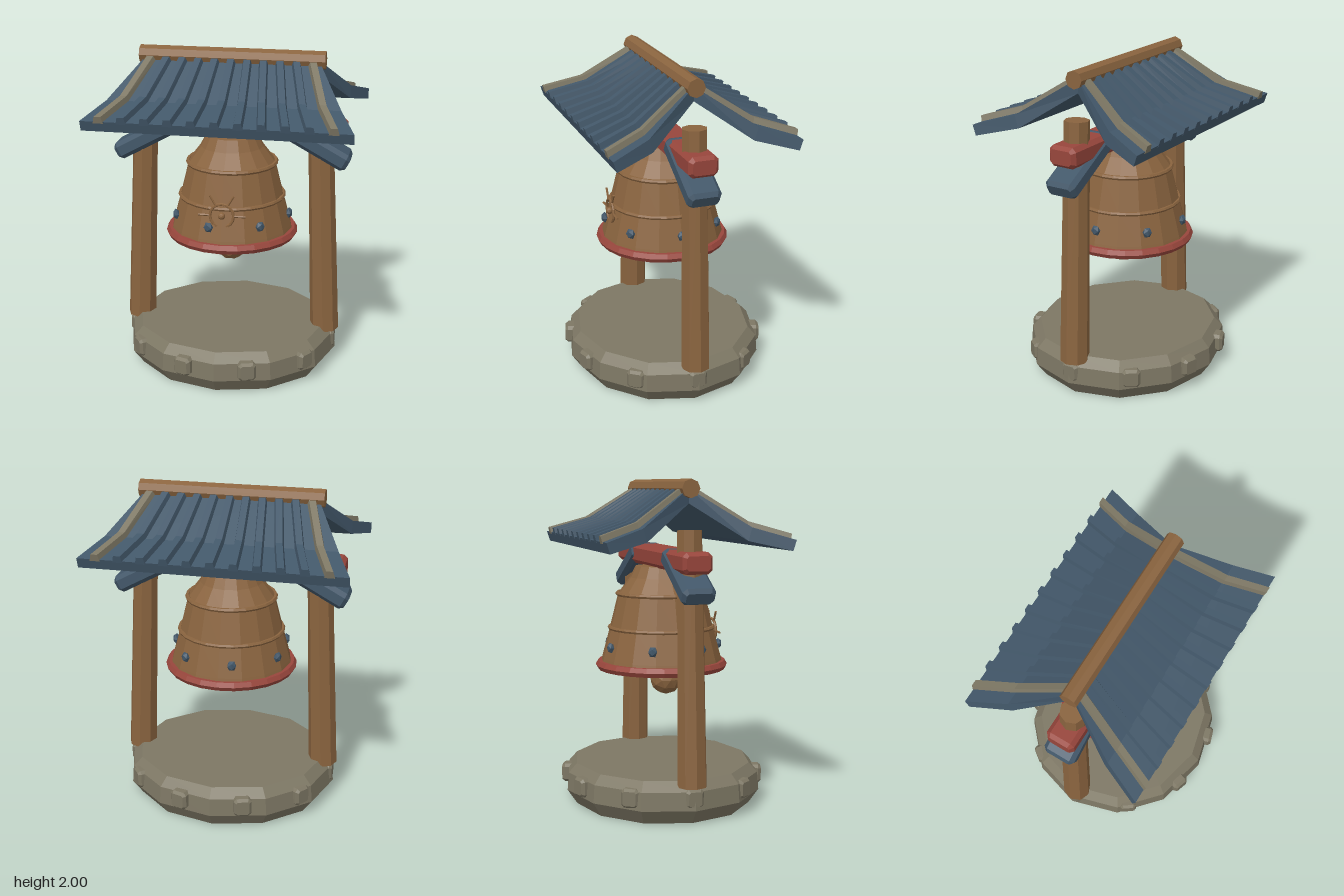
import * as THREE from 'three';

const paint = (name, color) => {
  const m = new THREE.MeshStandardMaterial({ color });
  m.name = name;
  return m;
};

// Faceted copy of a geometry
function flat(geo) {
  const g = geo.index ? geo.toNonIndexed() : geo;
  g.computeVertexNormals();
  return g;
}

// Solid through cross-sections ordered along +z, each counter-clockwise seen from +z
function loft(sections) {
  const pos = [], n = sections[0].length, last = sections.length - 1;
  const tri = (...pts) => pts.forEach((p) => pos.push(...p));
  for (let i = 0; i < last; i++) {
    for (let j = 0; j < n; j++) {
      const k = (j + 1) % n;
      const a = sections[i][j], b = sections[i][k], c = sections[i + 1][k], d = sections[i + 1][j];
      tri(a, b, c);
      tri(a, c, d);
    }
  }
  for (let j = 1; j < n - 1; j++) {
    tri(sections[0][0], sections[0][j + 1], sections[0][j]);
    tri(sections[last][0], sections[last][j], sections[last][j + 1]);
  }
  const g = new THREE.BufferGeometry();
  g.setAttribute('position', new THREE.Float32BufferAttribute(pos, 3));
  return flat(g);
}

// Box with all edges chamfered by c
function chamferBox(w, h, d, c) {
  const x = d / 2, y = h / 2;
  const shape = new THREE.Shape([
    [-x + c, -y], [x - c, -y], [x, -y + c], [x, y - c],
    [x - c, y], [-x + c, y], [-x, y - c], [-x, -y + c],
  ].map(([a, b]) => new THREE.Vector2(a, b)));
  const g = new THREE.ExtrudeGeometry(shape, {
    depth: w - 2 * c, bevelEnabled: true, bevelSegments: 1,
    bevelThickness: c, bevelSize: c * 0.8, bevelOffset: -c * 0.8,
  });
  return flat(g.center().rotateY(Math.PI / 2));
}

const lathe = (pts, sides) =>
  flat(new THREE.LatheGeometry(pts.map(([r, y]) => new THREE.Vector2(r, y)), sides));

export function createModel() {
  const model = new THREE.Group();
  model.name = 'bellShrine';
  const wood = paint('wood', 0x8a643f);
  const slate = paint('slate', 0x425769);
  const red = paint('redPaint', 0x98463c);
  const stone = paint('stone', 0x7d7764);

  const add = (name, geo, mat, x = 0, y = 0, z = 0, parent = model) => {
    const mesh = new THREE.Mesh(geo, mat);
    mesh.name = name;
    mesh.position.set(x, y, z);
    parent.add(mesh);
    return mesh;
  };

  // Stone base, slightly wider than deep, with ten blocks round the rim
  const base = lathe([[0, 0], [0.9, 0], [1, 0.09], [0.985, 0.2], [0.9, 0.255], [0, 0.255]], 12);
  add('base', flat(base.scale(0.67, 1, 0.61)), stone);
  const block = chamferBox(0.1, 0.115, 0.11, 0.018);
  for (let i = 0; i < 10; i++) {
    const a = (i * Math.PI) / 5;
    add('baseBlock', block, stone, 0.615 * Math.cos(a), 0.158, 0.575 * Math.sin(a)).rotation.y = -a;
  }

  // Leaning posts and the braces under the cross beam
  const post = flat(new THREE.CylinderGeometry(0.075, 0.09, 1.49, 8));
  const brace = chamferBox(0.475, 0.11, 0.2, 0.025);
  for (const s of [1, -1]) {
    add('post', post, wood, s * 0.567, 0.965, 0).rotation.z = s * 0.042;
    add('brace', brace, slate, s * 0.508, 1.445, 0).rotation.z = -s * 0.5;
  }
  add('crossBeam', chamferBox(1.4, 0.125, 0.18, 0.025), red, 0, 1.528, 0);

  // Bell with rim, bands and clapper
  const bell = new THREE.Group();
  bell.name = 'bell';
  model.add(bell);
  add('bellBody', lathe([
    [0, 0.85], [0.385, 0.85], [0.373, 0.9], [0.322, 1.09], [0.27, 1.3], [0.195, 1.4], [0.16, 1.47], [0, 1.47],
  ], 16), wood, 0, 0, 0, bell);
  const hoop = (name, r, tube, y, mat) =>
    add(name, flat(new THREE.TorusGeometry(r, tube, 6, 24).rotateX(Math.PI / 2)), mat, 0, y, 0, bell);
  hoop('bellRim', 0.38, 0.031, 0.858, red);
  hoop('bellBand', 0.322, 0.013, 1.09, wood);
  hoop('bellBand', 0.272, 0.014, 1.3, wood);
  add('clapper', flat(new THREE.IcosahedronGeometry(0.1, 1)), wood, 0, 0.76, 0.03, bell);

  // Seven studs round the lower bell
  const stud = flat(new THREE.IcosahedronGeometry(0.03, 0).scale(1, 1.15, 0.75));
  for (let i = 0; i < 7; i++) {
    const a = Math.PI / 2 + (i * 2 * Math.PI) / 7;
    add('stud', stud, slate, 0.358 * Math.sin(a), 0.98, 0.358 * Math.cos(a), bell).rotation.y = a;
  }

  // Spoked ring ornament on the front of the bell
  const ornament = new THREE.Group();
  ornament.name = 'ornament';
  ornament.position.set(0, 1.055, 0.336);
  bell.add(ornament);
  add('ornamentRing', flat(new THREE.TorusGeometry(0.072, 0.009, 6, 16)), wood, 0, 0, 0, ornament);
  add('ornamentHub', flat(new THREE.IcosahedronGeometry(0.022, 1)), wood, 0, 0, 0.006, ornament);
  const spoke = flat(new THREE.CylinderGeometry(0.007, 0.007, 0.075, 5));
  for (let i = 0; i < 6; i++) {
    const a = (i * Math.PI) / 3;
    add('ornamentSpoke', spoke, wood, 0.106 * Math.cos(a), 0.106 * Math.sin(a), 0, ornament)
      .rotation.z = a - Math.PI / 2;
  }

  // Roof slab: ridge, kink and eave stations, mirrored front to back
  const stations = [
    { w: 0.52, top: [0, 1.945], bottom: [0, 1.86], rib: 0.095 },
    { w: 0.69, top: [0.322, 1.727], bottom: [0.3, 1.65], rib: 0.117 },
    { w: 0.785, top: [0.555, 1.657], bottom: [0.535, 1.595], rib: 0.135 },
  ];
  const slabRing = ({ w, top: [tz, ty], bottom: [bz, by] }, s) =>
    [[-w, by, s * bz], [w, by, s * bz], [w, ty, s * tz], [-w, ty, s * tz]];
  add('roofSlab', loft([
    slabRing(stations[2], -1), slabRing(stations[1], -1), slabRing(stations[0], 1),
    slabRing(stations[1], 1), slabRing(stations[2], 1),
  ]), slate);

  // Tile ribs fanning out from the ridge, the outermost pair in stone
  for (let i = -5; i <= 5; i++) {
    const rib = loft(stations.map(({ rib: step, top: [z, y] }) => {
      const x = i * step, lift = z > 0 ? 0.01 : 0;
      return [
        [x - 0.03, y - 0.01, z], [x + 0.03, y - 0.01, z],
        [x + 0.02, y + 0.032, z + lift], [x - 0.02, y + 0.032, z + lift],
      ];
    }));
    for (const turn of [0, Math.PI]) {
      add('roofRib', rib, Math.abs(i) === 5 ? stone : slate).rotation.y = turn;
    }
  }

  // Ridge pole
  const ridge = new THREE.CylinderGeometry(0.055, 0.055, 1.125, 8).rotateZ(Math.PI / 2);
  add('ridgePole', flat(ridge), wood, 0, 1.945, 0);

  return model;
}
